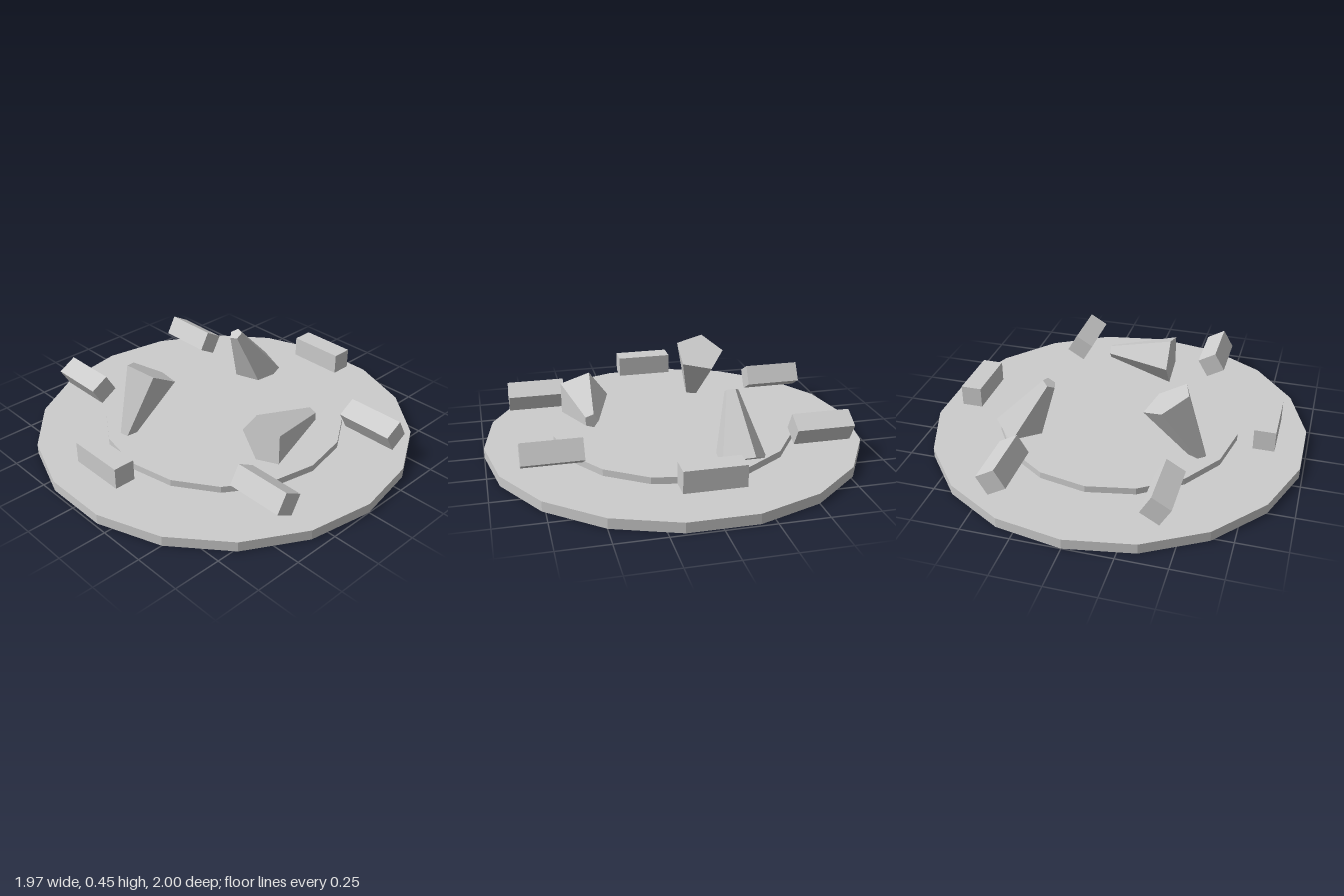
import * as THREE from 'three';

export function createModel() {
  const model = new THREE.Group();
  model.name = 'stoneCircle';
  const stone = new THREE.MeshStandardMaterial({ color: 0xcccccc, flatShading: true });
  stone.name = 'pale grey stone';

  const add = (name, geometry, x, y, z, roll = 0) => {
    const mesh = new THREE.Mesh(geometry, stone);
    mesh.name = name;
    mesh.position.set(x, y, z);
    mesh.rotation.z = roll;
    model.add(mesh);
  };

  // Stepped base: wide disc with a smaller one on top
  add('baseDisc', new THREE.CylinderGeometry(1, 1, 0.053, 18), 0, 0.0265, 0);
  add('upperDisc', new THREE.CylinderGeometry(0.64, 0.64, 0.036, 16), 0, 0.07, 0);

  // Ring of six blocks, each rolled about z by its place in the ring
  const block = new THREE.BoxGeometry(0.11, 0.11, 0.305);
  for (let i = 0; i < 6; i++) {
    const a = (i * Math.PI) / 3;
    add(`block${i + 1}`, block, 0.793 * Math.cos(a), 0.175, 0.688 / 0.866 * Math.sin(a), -a);
  }

  // Three tumbled five-sided shards on the upper disc
  const shard = new THREE.CylinderGeometry(0.037, 0.138, 0.356, 5, 1, false, Math.PI);
  for (let i = 0; i < 3; i++) {
    const a = Math.PI / 2 + (i * Math.PI * 2) / 3;
    add(`shard${i + 1}`, shard, 0.46 * Math.cos(a), 0.228, 0.46 * Math.sin(a), -a);
  }

  return model;
}
